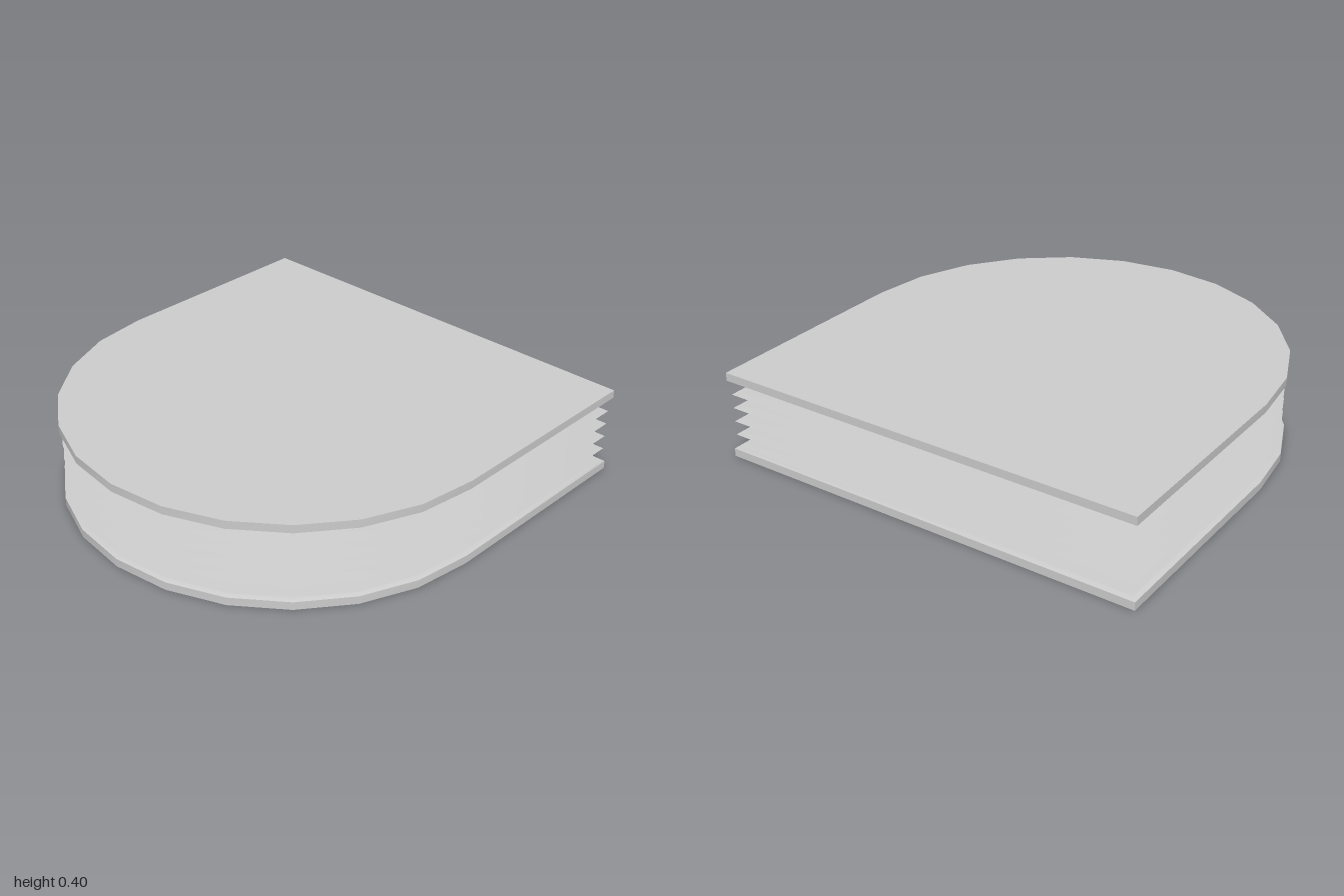
import * as THREE from 'three';
import { toCreasedNormals } from 'three/addons/utils/BufferGeometryUtils.js';

// D-shaped outline: half circle on -x, square corners on +x
const outline = [[1, 1]];
for (let i = 0; i <= 12; i++) {
  const a = Math.PI * (0.5 + i / 12);
  outline.push([Math.cos(a), Math.sin(a)]);
}
outline.push([1, -1]);

// Sweep a profile of [scale, height] points around the outline
function loft(profile) {
  const positions = [];
  const point = ([s, y], [x, z]) => [x * s, y, z * s];
  for (let j = 0; j < profile.length - 1; j++) {
    const low = profile[j], high = profile[j + 1];
    outline.forEach((p, i) => {
      const q = outline[(i + 1) % outline.length];
      const a = point(low, p), b = point(low, q);
      const c = point(high, p), d = point(high, q);
      if (low[0] > 0) positions.push(...a, ...c, ...b);
      if (high[0] > 0) positions.push(...b, ...c, ...d);
    });
  }
  const geometry = new THREE.BufferGeometry();
  geometry.setAttribute('position', new THREE.Float32BufferAttribute(positions, 3));
  return toCreasedNormals(geometry, Math.PI / 6);
}

export function createModel() {
  const group = new THREE.Group();
  const material = new THREE.MeshStandardMaterial({ color: 0xcccccc });
  const foldMaterial = new THREE.MeshStandardMaterial({ color: 0xcccccc, side: THREE.DoubleSide });
  const add = (name, profile, mat) => {
    const mesh = new THREE.Mesh(loft(profile), mat);
    mesh.name = name;
    group.add(mesh);
  };

  // End plates, mirrored about mid height, with a small bevel on the inner rim
  const height = 0.4;
  const plate = [[0, 0], [1, 0], [1, 0.037], [0.98, 0.044], [0, 0.044]];
  add('bottomPlate', plate, material);
  add('topPlate', plate.map(([s, y]) => [s, height - y]).reverse(), material);

  // Pleated bellows: four thin ridges between five valleys
  const pitch = 0.064, valley = 0.62;
  const folds = [[0.98, 0.044], [0.85, 0.055], [valley, 0.068], [valley, 0.076]];
  for (let i = 0; i < 4; i++) {
    const y = height / 2 + (i - 1.5) * pitch;
    folds.push([valley, y - 0.028], [0.85, y - 0.013], [0.99, y],
      [0.85, y + 0.013], [valley, y + 0.028]);
  }
  folds.push([valley, 0.332], [0.85, 0.345], [0.98, 0.356]);
  folds.splice(3, 1);
  add('bellows', folds, foldMaterial);

  return group;
}
